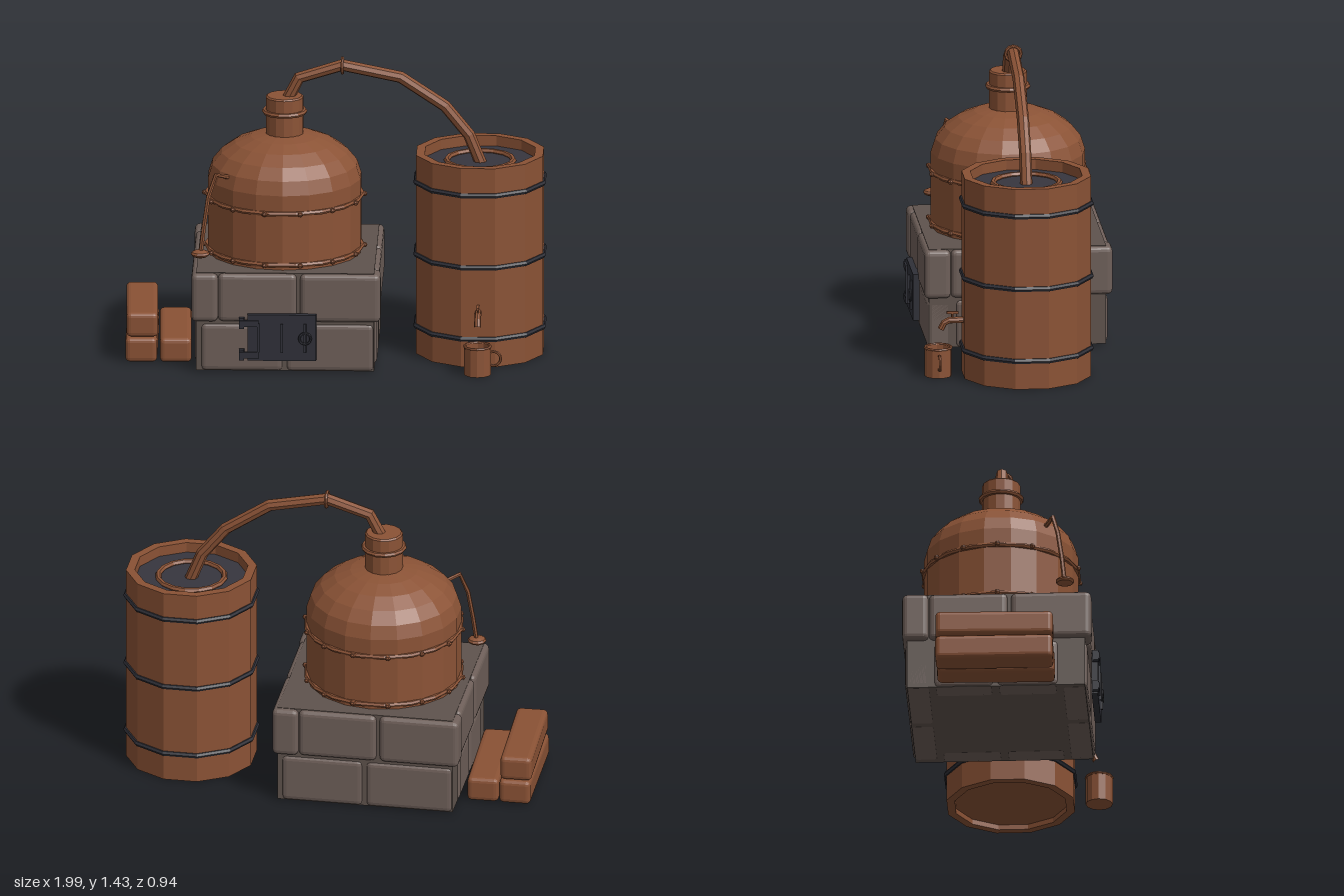
import * as THREE from 'three';
import { RoundedBoxGeometry } from 'three/addons/geometries/RoundedBoxGeometry.js';

const mat = (name, color, side = THREE.FrontSide) =>
  new THREE.MeshStandardMaterial({ name, color, side, flatShading: true });

export function createModel() {
  const root = new THREE.Group();
  root.name = 'distillery';
  const copper = mat('copper', 0x8b5336);
  const wood = mat('wood', 0x8a5235);
  const stone = mat('stone', 0x6e5f59);
  const mortar = mat('mortar', 0x5f534d);
  const iron = mat('iron', 0x2f3038);
  const water = mat('water', 0x37363e);

  const Z0 = -0.02; // shared depth of kettle, pipe and barrel

  const group = (name, x = 0, y = 0, z = 0) => {
    const g = new THREE.Group();
    g.name = name;
    g.position.set(x, y, z);
    root.add(g);
    return g;
  };
  const add = (parent, name, geo, material, x = 0, y = 0, z = 0) => {
    const m = new THREE.Mesh(geo, material);
    m.name = name;
    m.position.set(x, y, z);
    parent.add(m);
    return m;
  };
  const lathe = (pts, sides, phi = 0) =>
    new THREE.LatheGeometry(pts.map(([x, y]) => new THREE.Vector2(x, y)), sides, phi);
  const ring = (r, tube, sides, turn = 0) =>
    new THREE.TorusGeometry(r, tube, 6, sides).rotateX(Math.PI / 2).rotateY(turn);
  const box = (w, h, d) => new THREE.BoxGeometry(w, h, d);

  // Tube with one straight, mitred section between each pair of points
  const bentTube = (pts, r, sides) => {
    const c = new THREE.CatmullRomCurve3(pts.map(p => new THREE.Vector3(...p)));
    c.getPointAt = (u, t) => c.getPoint(u, t);
    c.getTangentAt = (u, t) => c.getTangent(u, t);
    return new THREE.TubeGeometry(c, pts.length - 1, r, sides, false);
  };

  // Stone hearth: mortar core faced with two courses of rounded blocks
  const hearth = group('hearth', -0.228, 0, -0.025);
  add(hearth, 'mortarCore', box(0.84, 0.479, 0.84), mortar, 0, 0.2475, 0);
  const course = (side, spans, y0, y1, outer) => {
    const g = new THREE.Group();
    g.name = 'stoneCourse';
    g.rotation.y = side * Math.PI / 2;
    hearth.add(g);
    for (const [a, b] of spans) {
      add(g, 'stoneBlock', new RoundedBoxGeometry(b - a, y1 - y0, 0.125, 2, 0.025), stone,
        (a + b) / 2, (y0 + y1) / 2, outer - 0.0625);
    }
  };
  for (let k = 0; k < 4; k++) {
    const end = k % 2 === 0;
    course(k, [[-0.317, 0.055], [0.07, 0.45]], 0.25, 0.485, 0.443);
    course(k, end ? [[-0.4, -0.01], [0.003, 0.42]] : [[-0.295, -0.01], [0.003, 0.295]],
      0.005, 0.24, 0.43);
  }

  // Fire door with hinges, bars and ring pull
  const door = group('fireDoor', -0.243, 0.183, 0.43);
  add(door, 'doorPlate', box(0.325, 0.225, 0.03), iron);
  for (const y of [0.07, -0.085]) {
    add(door, 'hingeStrap', box(0.09, 0.03, 0.02), iron, -0.155, y, 0.015);
    add(door, 'hingePin', box(0.025, 0.05, 0.03), iron, -0.19, y, 0.005);
  }
  for (const x of [-0.11, 0, 0.11]) add(door, 'doorBar', box(0.012, 0.14, 0.014), iron, x, 0, 0.018);
  add(door, 'ringPull', new THREE.TorusGeometry(0.027, 0.006, 6, 12), iron, 0.11, 0, 0.024);

  // Kettle with dome and neck
  const kettle = group('kettle', -0.243, 0, Z0);
  add(kettle, 'kettleBody', lathe([
    [0.366, 0.47], [0.366, 0.85], [0.345, 0.915], [0.3, 0.97], [0.235, 1.015],
    [0.16, 1.045], [0.085, 1.06],
  ], 18), copper);
  add(kettle, 'neck', lathe([
    [0.09, 1.04], [0.09, 1.235], [0.083, 1.242], [0, 1.242],
  ], 14), copper);
  add(kettle, 'neckCollar', ring(0.096, 0.012, 14), copper, 0, 1.165, 0);
  for (const y of [0.51, 0.762]) {
    add(kettle, 'kettleBand', ring(0.368, 0.012, 18), copper, 0, y, 0);
    for (let i = 0; i < 14; i++) {
      const a = (i + 0.5) / 14 * Math.PI * 2;
      add(kettle, 'rivet', new THREE.SphereGeometry(0.013, 6, 4), copper,
        Math.sin(a) * 0.378, y, Math.cos(a) * 0.378);
    }
  }

  // Vapour pipe from neck to barrel
  const pipe = group('vapourPipe', 0, 0, Z0);
  add(pipe, 'pipe', bentTube([
    [-0.235, 1.21, 0], [-0.175, 1.328, 0], [0.03, 1.392, 0], [0.305, 1.335, 0],
    [0.515, 1.195, 0], [0.628, 1.055, 0], [0.69, 0.9, 0],
  ], 0.029, 8), copper);
  add(pipe, 'pipeCollar', new THREE.TorusGeometry(0.037, 0.008, 6, 12).rotateY(Math.PI / 2),
    copper, 0.03, 1.39, 0);

  // Cooling barrel: staves, hoops, water and coil
  const barrel = group('barrel', 0.68, 0, Z0);
  const turn = Math.PI / 12;
  add(barrel, 'staves', lathe([
    [0, 0.025], [0.27, 0.025], [0.27, 0], [0.31, 0], [0.31, 0.975], [0.268, 0.975], [0.268, 0.9],
  ], 12, turn), wood);
  add(barrel, 'water', new THREE.CircleGeometry(0.275, 12).rotateX(-Math.PI / 2).rotateY(turn),
    water, 0, 0.925, 0);
  add(barrel, 'coil', ring(0.158, 0.014, 16), copper, 0, 0.93, 0);
  for (const y of [0.137, 0.488, 0.842]) {
    add(barrel, 'hoop', ring(0.31, 0.013, 12, turn), iron, 0, y, 0);
  }

  // Spigot on the barrel front
  const spigot = group('spigot', 0.68, 0, 0);
  add(spigot, 'spout', bentTube([
    [0, 0.268, 0.26], [0, 0.268, 0.345], [0, 0.255, 0.37], [0, 0.225, 0.385],
  ], 0.016, 8), copper);
  add(spigot, 'tapStem', new THREE.CylinderGeometry(0.006, 0.006, 0.05, 6), copper, 0, 0.285, 0.33);
  add(spigot, 'tapHandle', box(0.012, 0.012, 0.055), copper, 0, 0.305, 0.33);

  // Mug under the spigot
  const mug = group('mug', 0.68, 0, 0.398);
  add(mug, 'mugBody', lathe([
    [0, 0], [0.064, 0], [0.064, 0.14], [0.056, 0.14], [0.056, 0.02], [0, 0.02],
  ], 12), copper);
  add(mug, 'mugRim', ring(0.062, 0.007, 12), copper, 0, 0.137, 0);
  add(mug, 'mugHandle', new THREE.TorusGeometry(0.035, 0.007, 6, 12), copper, 0.075, 0.077, 0);

  // Ladle leaning on the kettle
  const ladle = group('ladle');
  add(ladle, 'ladleHandle', bentTube([
    [-0.5, 0.9, 0.2], [-0.56, 0.922, 0.24], [-0.595, 0.82, 0.265], [-0.615, 0.68, 0.285],
    [-0.63, 0.555, 0.298],
  ], 0.011, 6), copper);
  add(ladle, 'ladleBowl', new THREE.SphereGeometry(0.045, 10, 6).scale(1, 0.42, 1), copper,
    -0.632, 0.552, 0.3);

  // Stacked firewood
  const firewood = group('firewood');
  for (const [x, y, yaw] of [[-0.915, 0.061, 0.01], [-0.757, 0.061, 0.03], [-0.915, 0.184, 0.03]]) {
    const log = add(firewood, 'log', new RoundedBoxGeometry(0.15, 0.118, 0.555, 2, 0.022), wood,
      x, y, Z0);
    log.rotation.y = yaw;
  }

  return root;
}
